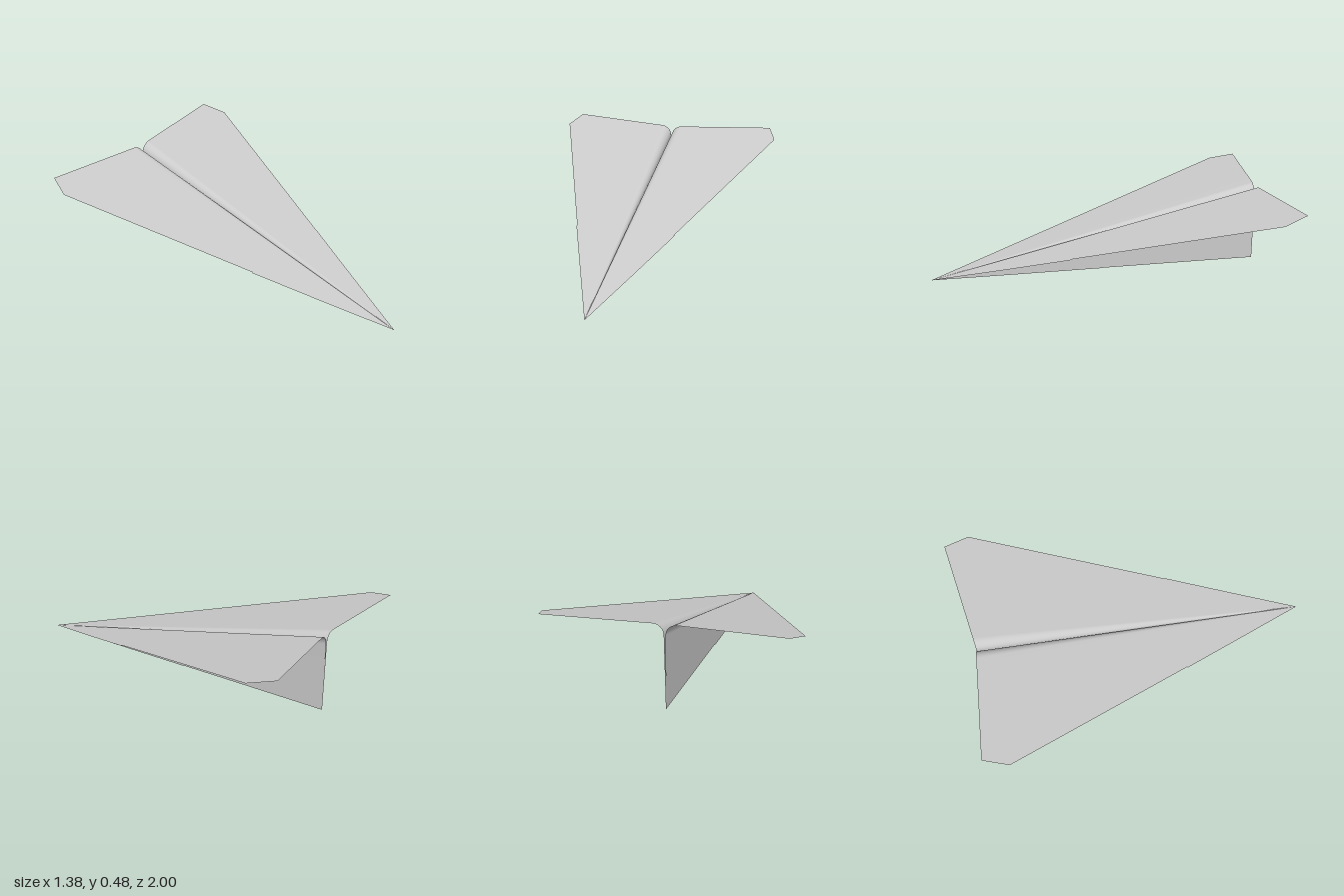
import * as THREE from 'three';

const SLOPE = 0.238;  // rise of the wing per unit behind the nose
const EDGE = 0.371;   // half width of the wing per unit behind the nose
const R = 0.03;       // radius of the wing fold per unit behind the nose
const GAP = 0.0025;   // half opening between the two body sides

// Half cross-section at one unit behind the nose: keel, body side, rounded fold, wing.
// n is the direction toward the outside (underside) of the paper.
function halfSection(edge) {
  const rays = [];
  for (let i = 0; i <= 5; i++) {
    const t = i / 5;
    rays.push({ x: GAP * t, y: (SLOPE - R) * t, nx: 1, ny: 0, wing: false });
  }
  for (let i = 1; i <= 10; i++) {
    const a = (i / 10) * Math.PI / 2;
    rays.push({
      x: GAP + R * (1 - Math.cos(a)), y: SLOPE - R + R * Math.sin(a),
      nx: Math.cos(a), ny: -Math.sin(a), wing: i > 5,
    });
  }
  const start = GAP + R;
  for (const x of [0.08, 0.14, 0.2, 0.26, 0.32, edge]) {
    if (x > start) rays.push({ x, y: SLOPE, nx: 0, ny: -1, wing: true });
  }
  return rays;
}

// Distance behind the nose at which each layer of paper ends, along one ray
const sheetEnd = ({ x, wing }) =>
  x > 0.33 ? 1.86 : wing ? Math.max(1.93, 1.9266 / (1 - 0.1148 * x)) : 1.93;
const rearFlapEnd = ({ x, y, wing }) =>
  wing && x > GAP + R * 0.9 ? 1.709 / (1.29 - x) : 1.01 / (1 - y);
const frontFlapEnd = ({ x, y, wing }) =>
  wing ? 0.832 / (1 + 0.22 * x) : 1.122 / (1.11 + y);

// Loft of rays from the nose; offset lays the sheet outside the one before it
function paperLayer(name, side, endOf, offset, edge = EDGE) {
  const rays = halfSection(edge), rows = 12;
  const pos = [], idx = [];
  for (const ray of rays) {
    const end = endOf(ray);
    for (let j = 0; j <= rows; j++) {
      const s = 0.004 + (end - 0.004) * (j / rows);
      const d = offset * Math.min(1, s / 0.4);
      pos.push(
        side * (ray.x * s + ray.nx * d),
        Math.max(0, ray.y * s + ray.ny * d),
        1 - s,
      );
    }
  }
  const w = rows + 1;
  for (let i = 0; i < rays.length - 1; i++) {
    for (let j = 0; j < rows; j++) {
      const a = i * w + j, b = a + 1, c = a + w, e = c + 1;
      if (side > 0) idx.push(a, b, c, b, e, c);
      else idx.push(a, c, b, b, c, e);
    }
  }
  const geo = new THREE.BufferGeometry();
  geo.setAttribute('position', new THREE.Float32BufferAttribute(pos, 3));
  geo.setIndex(idx);
  geo.computeVertexNormals();
  const mesh = new THREE.Mesh(geo, new THREE.MeshStandardMaterial({
    color: 0xcccccc, side: THREE.DoubleSide,
  }));
  mesh.name = name;
  return mesh;
}

export function createModel() {
  const plane = new THREE.Group();
  plane.name = 'paperPlane';
  for (const side of [1, -1]) {
    const half = new THREE.Group();
    half.name = side > 0 ? 'leftHalf' : 'rightHalf';
    // main sheet: body side and wing
    half.add(paperLayer('wingAndBodySheet', side, sheetEnd, 0));
    // folded layers on the underside, the front one slightly wider
    half.add(paperLayer('rearFoldedFlap', side, rearFlapEnd, 0.002));
    half.add(paperLayer('frontFoldedFlap', side, frontFlapEnd, 0.004, EDGE + 0.006));
    plane.add(half);
  }
  return plane;
}
